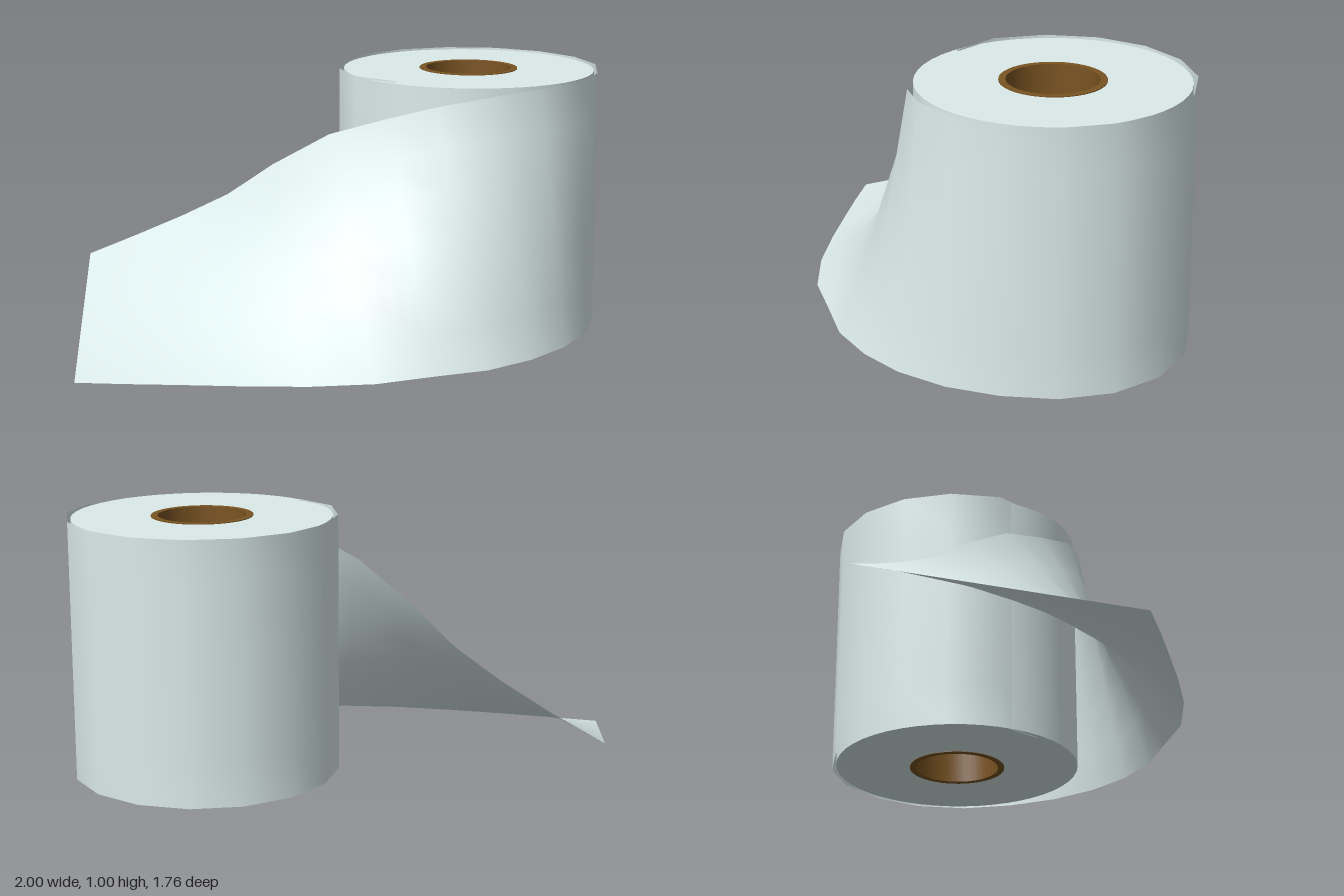
import * as THREE from 'three';
import { toCreasedNormals } from 'three/addons/utils/BufferGeometryUtils.js';

const CX = 0.48, CZ = -0.38;
const SHEET_R = 0.505, ROLL_R = 0.485, CORE_R = 0.19, HOLE_R = 0.165;

// Square-section ring turned around the roll's axis
function ring(name, inner, outer, bottom, top, material) {
  const profile = [[inner, bottom], [outer, bottom], [outer, top], [inner, top], [inner, bottom]]
    .map(([r, y]) => new THREE.Vector2(r, y));
  const geometry = toCreasedNormals(new THREE.LatheGeometry(profile, 48), 0.7);
  const mesh = new THREE.Mesh(geometry, material);
  mesh.name = name;
  mesh.position.set(CX, 0, CZ);
  return mesh;
}

// Loose sheet: pairs of top and bottom edge points, lofted by straight lines
function sheetGeometry() {
  const pairs = [[[0.3, 1, 0.05], [0.3, 0.02, 0.05]]];
  // wound part: front left, round the back, to the right side
  for (let i = 0; i <= 10; i++) {
    const a = -Math.PI / 4 - i * Math.PI / 8;
    const x = CX + SHEET_R * Math.sin(a), z = CZ + SHEET_R * Math.cos(a);
    pairs.push([[x, 1 - (i === 10 ? 0.005 : 0), z], [x + (i === 10 ? 0.01 : 0), 0.02, z]]);
  }
  // unrolled part, twisting down to lie on the ground
  pairs.push(
    [[0.947, 0.993, -0.187], [1.0, 0.02, -0.18]],
    [[0.837, 0.985, -0.023], [0.95, 0.017, 0.02]],
    [[0.673, 0.965, 0.087], [0.86, 0.013, 0.19]],
    [[0.48, 0.925, 0.122], [0.73, 0.01, 0.35]],
    [[0.28, 0.865, 0.09], [0.56, 0.01, 0.475]],
    [[0.04, 0.785, 0.047], [0.38, 0.008, 0.61]],
    [[-0.2, 0.645, 0], [0.16, 0.006, 0.7]],
    [[-0.4, 0.505, -0.04], [-0.07, 0.005, 0.76]],
    [[-0.6, 0.4, -0.063], [-0.28, 0.004, 0.805]],
    [[-0.8, 0.305, -0.07], [-0.47, 0.002, 0.845]],
    [[-1, 0.215, -0.06], [-0.66, 0, 0.88]]
  );
  const rows = 6, positions = [], index = [];
  pairs.forEach(([top, bottom], i) => {
    for (let j = 0; j <= rows; j++) {
      const t = j / rows;
      positions.push(...top.map((v, k) => v + (bottom[k] - v) * t));
      if (i > 0 && j < rows) {
        const b = i * (rows + 1) + j, a = b - rows - 1;
        index.push(a, b, a + 1, b, b + 1, a + 1);
      }
    }
  });
  const geometry = new THREE.BufferGeometry();
  geometry.setAttribute('position', new THREE.Float32BufferAttribute(positions, 3));
  // reverse the winding so that the outside of the roll is the front face
  geometry.setIndex(index.reverse());
  geometry.computeVertexNormals();
  return geometry;
}

export function createModel() {
  const model = new THREE.Group();
  model.name = 'paperRoll';
  const paper = new THREE.MeshStandardMaterial({ color: 0xdcebeb });
  const sheetPaper = new THREE.MeshStandardMaterial({ color: 0xdcebeb, side: THREE.DoubleSide });
  const card = new THREE.MeshStandardMaterial({ color: 0x7a5422 });

  // Wound paper and cardboard core
  model.add(ring('woundPaper', CORE_R - 0.005, ROLL_R, 0.022, 0.994, paper));
  model.add(ring('cardboardCore', HOLE_R, CORE_R, 0.02, 0.997, card));

  // Outer layer with its loose end
  const sheet = new THREE.Mesh(sheetGeometry(), sheetPaper);
  sheet.name = 'looseSheet';
  model.add(sheet);
  return model;
}
